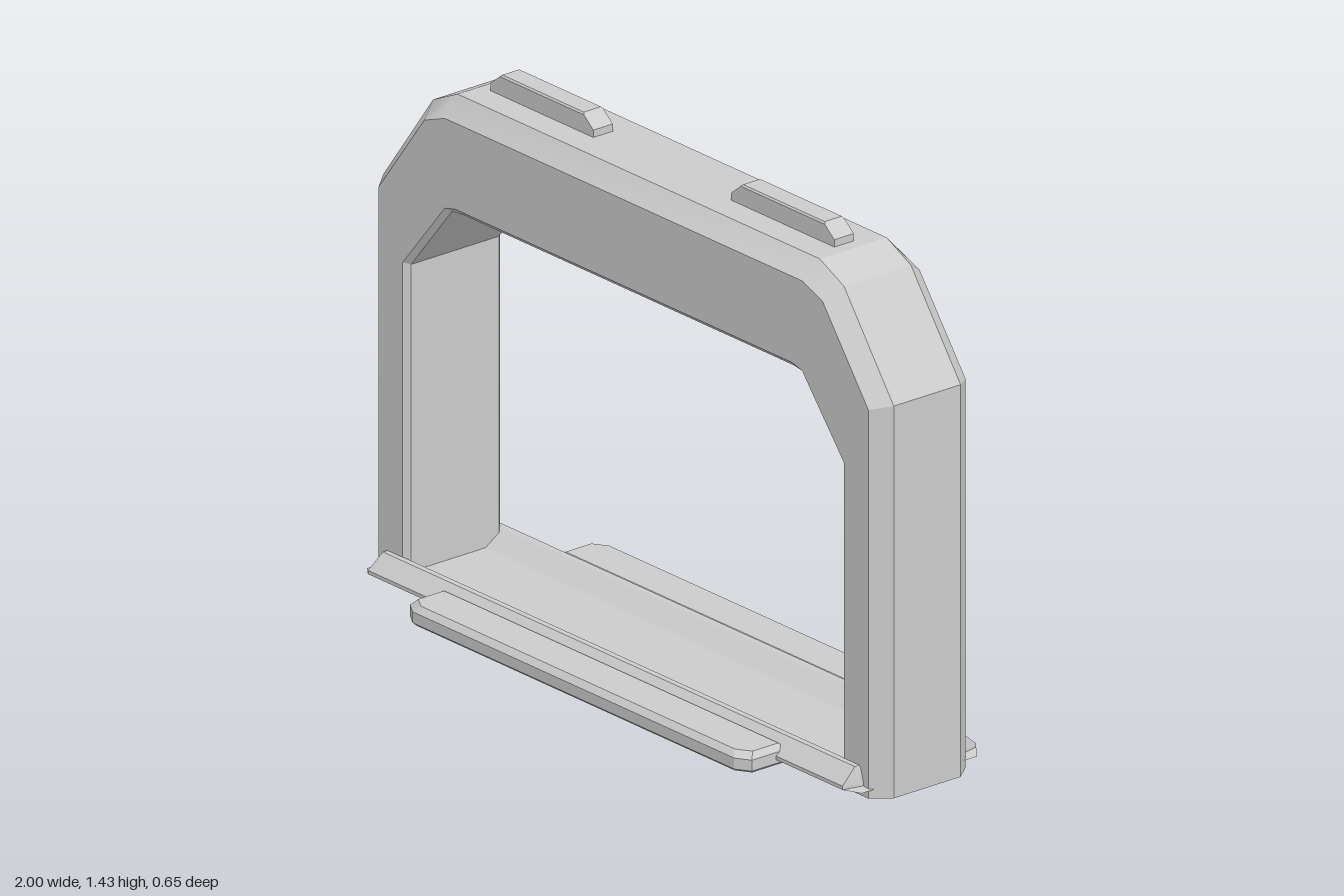
import * as THREE from 'three';
import { toCreasedNormals } from 'three/addons/utils/BufferGeometryUtils.js';

const material = new THREE.MeshStandardMaterial({ color: 0xcccccc });

// Skin a list of equal-length rings and cap both ends.
function loft(name, rings, crease = 0.4) {
  const pos = [];
  const tri = (a, b, c) => pos.push(...a, ...b, ...c);
  const n = rings[0].length;
  for (let s = 0; s < rings.length - 1; s++) {
    for (let k = 0; k < n; k++) {
      const a = rings[s][k], b = rings[s + 1][k];
      const c = rings[s + 1][(k + 1) % n], d = rings[s][(k + 1) % n];
      tri(a, b, c);
      tri(a, c, d);
    }
  }
  const first = rings[0], last = rings[rings.length - 1];
  for (let k = 1; k < n - 1; k++) {
    tri(first[0], first[k], first[k + 1]);
    tri(last[0], last[k + 1], last[k]);
  }
  const geometry = new THREE.BufferGeometry();
  geometry.setAttribute('position', new THREE.Float32BufferAttribute(pos, 3));
  const mesh = new THREE.Mesh(toCreasedNormals(geometry, crease), material);
  mesh.name = name;
  return mesh;
}

// Arch: four contours (outer, outer chamfer, inner chamfer, inner), right half
function arch() {
  const contours = [
    { z: 0.11, pts: [[1, 0], [1, 1.07], [0.805, 1.335], [0.71, 1.38]] },
    { z: 0.16, pts: [[0.96, 0], [0.96, 1.06], [0.78, 1.3], [0.7, 1.33]] },
    { z: 0.16, pts: [[0.865, 0], [0.865, 0.885], [0.7, 1.085], [0.66, 1.095]] },
    { z: 0.145, pts: [[0.85, 0], [0.85, 0.88], [0.69, 1.075], [0.65, 1.08]] },
  ];
  const ring = (i, side) => {
    const front = contours.map(({ z, pts }) => [side * pts[i][0], pts[i][1], z]);
    const back = front.map(([x, y, z]) => [x, y, -z]).reverse();
    return [...front, ...back];
  };
  const rings = [0, 1, 2, 3].map(i => ring(i, 1));
  rings.push(...[3, 2, 1, 0].map(i => ring(i, -1)));
  return loft('archFrame', rings);
}

// Base channel: shallow tray with a raised ridge along each long edge
function baseTray() {
  const half = [[0.19, 0.025, 0.97], [0.22, 0.03, 0.93], [0.22, 0.04, 0.93],
    [0.175, 0.08, 0.925], [0.158, 0.08, 0.925], [0.1, 0.042, 0.95]]; // z, y, x
  const ring = side => [
    [side * 0.97, 0.025, 0],
    ...half.map(([z, y, x]) => [side * x, y, -z]),
    ...half.map(([z, y, x]) => [side * x, y, z]).reverse(),
  ];
  return loft('baseTray', [ring(1), ring(-1)]);
}

// Side foot: flat bar with clipped corners and a bevelled top
function sideFoot(name, side) {
  const ring = (y, inset) => {
    const x = 0.67 - inset, z0 = 0.185 + inset, z1 = 0.325 - inset;
    const pts = [[x, z0], [x, z1 - 0.025], [x - 0.04, z1],
      [-x + 0.04, z1], [-x, z1 - 0.025], [-x, z0]];
    if (side < 0) pts.reverse();
    return pts.map(([px, pz]) => [px, y, side * pz]);
  };
  return loft(name, [ring(0.012, 0.008), ring(0.02, 0), ring(0.05, 0), ring(0.066, 0.015)]);
}

// Top pad: narrow bar with sloping ends
function topPad(name, cx) {
  const ring = (y, hx, hz) =>
    [[hx, hz], [-hx, hz], [-hx, -hz], [hx, -hz]].map(([x, z]) => [cx + x, y, z]);
  return loft(name, [ring(1.36, 0.202, 0.032), ring(1.4, 0.202, 0.032),
    ring(1.43, 0.165, 0.032), ring(1.435, 0.16, 0.028)]);
}

export function createModel() {
  const group = new THREE.Group();
  group.name = 'archHandle';
  group.add(
    arch(),
    baseTray(),
    sideFoot('frontFoot', 1),
    sideFoot('backFoot', -1),
    topPad('leftTopPad', 0.472),
    topPad('rightTopPad', -0.472),
  );
  return group;
}
